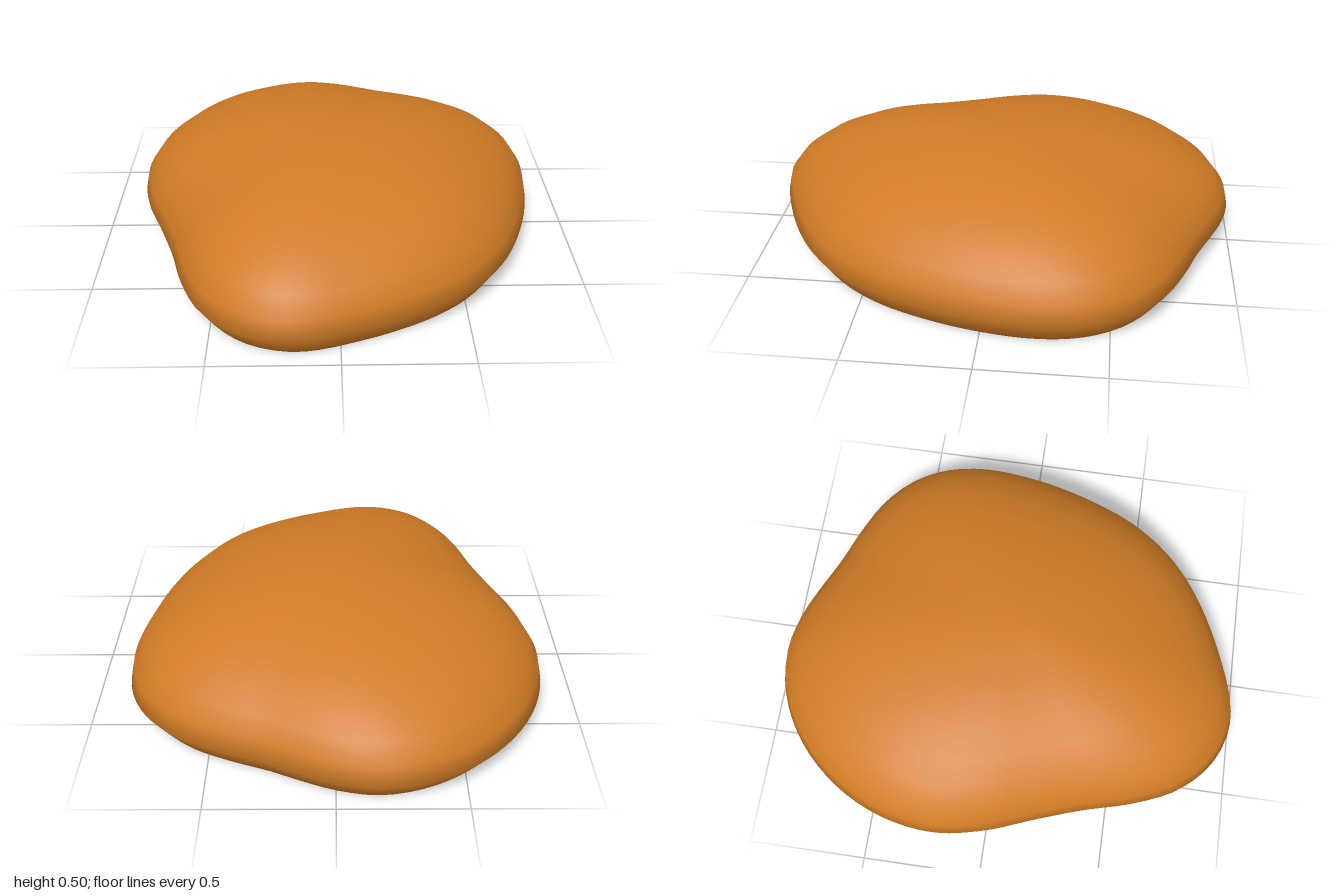
import * as THREE from 'three';

const SEGMENTS = 96;

// Widest outline as [x, z], clockwise from the back when seen from above
const OUTLINE = [
  [-0.18, -1], [0, -0.97], [0.15, -0.91], [0.28, -0.85], [0.45, -0.785], [0.62, -0.7],
  [0.75, -0.58], [0.83, -0.43], [0.86, -0.25], [0.84, -0.02], [0.78, 0.22], [0.68, 0.46],
  [0.55, 0.64], [0.38, 0.78], [0.1, 0.92], [-0.18, 0.995], [-0.38, 0.94], [-0.53, 0.8],
  [-0.62, 0.61], [-0.68, 0.4], [-0.75, 0.2], [-0.825, 0], [-0.865, -0.22], [-0.83, -0.45],
  [-0.73, -0.66], [-0.57, -0.84], [-0.38, -0.955],
];

// Rings as [scale of the outline, height], from the top down
function makeRings() {
  const rings = [];
  for (let k = 1; k <= 8; k++) {
    const a = (k / 8) * Math.PI / 2;
    rings.push([Math.sin(a), 0.1 + 0.4 * Math.cos(a)]);
  }
  // Undercut, then the flat base
  for (const s of [0.925, 0.83, 0.7, 0.4]) rings.push([s, 0]);
  return rings;
}

function pebbleGeometry() {
  const curve = new THREE.CatmullRomCurve3(
    OUTLINE.map(([x, z]) => new THREE.Vector3(x, 0, z)), true);
  const loop = curve.getSpacedPoints(SEGMENTS).slice(0, SEGMENTS);
  const rings = makeRings();
  const positions = [0, 0.5, 0];
  for (const [s, y] of rings) for (const p of loop) positions.push(p.x * s, y, p.z * s);
  positions.push(0, 0, 0);

  const index = [];
  const last = rings.length - 1;
  const bottom = 1 + rings.length * SEGMENTS;
  const at = (r, i) => 1 + r * SEGMENTS + (i % SEGMENTS);
  for (let i = 0; i < SEGMENTS; i++) {
    index.push(0, at(0, i + 1), at(0, i));
    for (let r = 0; r < last; r++) {
      index.push(at(r, i), at(r, i + 1), at(r + 1, i));
      index.push(at(r, i + 1), at(r + 1, i + 1), at(r + 1, i));
    }
    index.push(bottom, at(last, i), at(last, i + 1));
  }

  const geometry = new THREE.BufferGeometry();
  geometry.setAttribute('position', new THREE.Float32BufferAttribute(positions, 3));
  geometry.setIndex(index);
  geometry.computeVertexNormals();
  return geometry;
}

export function createModel() {
  const ochre = new THREE.MeshStandardMaterial({ color: 0xcf7b25 });
  ochre.name = 'ochre';
  const group = new THREE.Group();
  group.name = 'pebble';
  const body = new THREE.Mesh(pebbleGeometry(), ochre);
  body.name = 'pebbleBody';
  group.add(body);
  return group;
}
